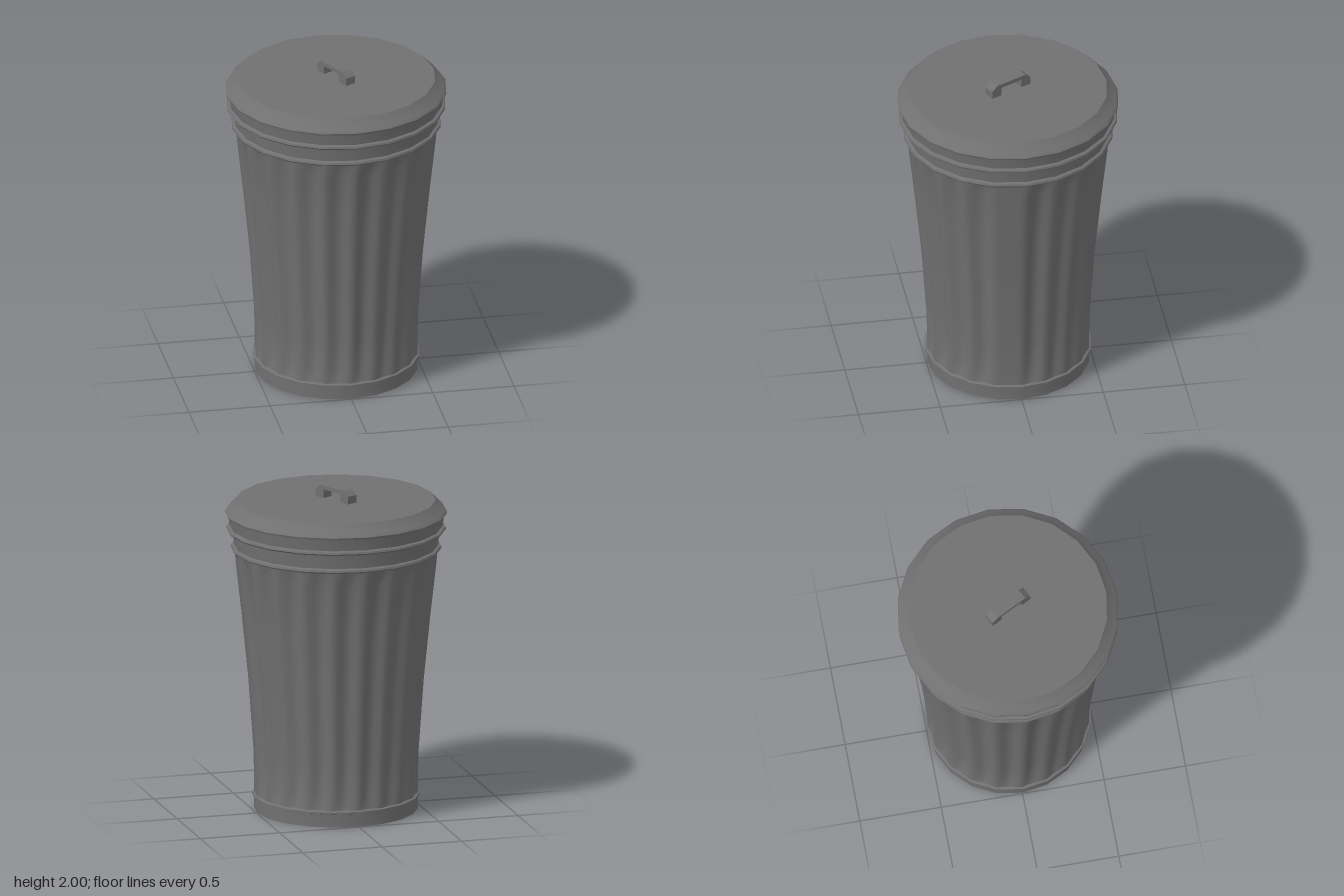
import * as THREE from 'three';
import { toCreasedNormals } from 'three/addons/utils/BufferGeometryUtils.js';

const SIDES = 20;
const material = new THREE.MeshStandardMaterial({ color: 0x707070 });

function addMesh(group, name, geometry, crease) {
  const mesh = new THREE.Mesh(toCreasedNormals(geometry, crease), material);
  mesh.name = name;
  group.add(mesh);
  return mesh;
}

// Twenty-sided turned part from [radius, height] pairs, bottom to top
function turned(points) {
  return new THREE.LatheGeometry(points.map(([r, y]) => new THREE.Vector2(r, y)), SIDES);
}

// Fluted wall: rows of [height, ridge radius, flute depth]
function flutedWall() {
  const rows = [
    [0.09, 0.495, 0], [0.18, 0.495, 0.024], [0.37, 0.5, 0.026], [0.8, 0.53, 0.027],
    [1.2, 0.57, 0.028], [1.52, 0.606, 0.028], [1.62, 0.615, 0],
  ];
  const perFlute = 6, around = SIDES * perFlute;
  const geometry = new THREE.CylinderGeometry(1, 1, 1, around, rows.length - 1, true);
  const position = geometry.attributes.position;
  for (let i = 0; i < position.count; i++) {
    const row = Math.floor(i / (around + 1));
    const col = (i % (around + 1)) % around;
    const [y, ridge, depth] = rows[rows.length - 1 - row];
    const flute = Math.floor(col / perFlute);
    const t = (col % perFlute) / perFlute;
    // straight chord between neighbouring ridges, pressed in halfway
    const half = Math.PI / SIDES;
    const chord = ridge * Math.cos(half) / Math.cos((2 * t - 1) * half);
    const press = flute === 4 ? 0 : depth * Math.sin(Math.PI * t) ** 2; // one plain seam panel
    const angle = col / around * Math.PI * 2;
    const r = chord - press;
    position.setXYZ(i, r * Math.sin(angle), y, r * Math.cos(angle));
  }
  return geometry;
}

// Bracket with sloped shoulders and an open grip
function handleGeometry() {
  const outline = [
    [-0.143, 1.915], [-0.143, 1.97], [-0.105, 2], [0.105, 2], [0.143, 1.97], [0.143, 1.915],
    [0.075, 1.915], [0.075, 1.975], [-0.075, 1.975], [-0.075, 1.915],
  ];
  const shape = new THREE.Shape(outline.map(([x, y]) => new THREE.Vector2(x, y)));
  const geometry = new THREE.ExtrudeGeometry(shape, { depth: 0.07, bevelEnabled: false });
  return geometry.translate(0, 0, -0.035);
}

export function createModel() {
  const group = new THREE.Group();
  group.name = 'trashCan';

  // Base pan with its raised bead
  addMesh(group, 'base', turned([
    [0, 0], [0.495, 0], [0.495, 0.08], [0.507, 0.084], [0.507, 0.096], [0.49, 0.104],
  ]), 0.6);

  addMesh(group, 'flutedBody', flutedWall(), 0.9);

  // Plain collar above the flutes, with its lower bead
  addMesh(group, 'collar', turned([
    [0.605, 1.615], [0.632, 1.617], [0.638, 1.626], [0.634, 1.638],
    [0.618, 1.645], [0.626, 1.74],
  ]), 0.6);

  // Lid: skirt with two beads, sloped rim and flat top
  addMesh(group, 'lid', turned([
    [0.61, 1.735], [0.658, 1.737], [0.666, 1.746], [0.662, 1.757], [0.645, 1.763],
    [0.654, 1.835], [0.668, 1.837], [0.672, 1.848], [0.664, 1.86], [0.654, 1.866],
    [0.603, 1.922], [0, 1.922],
  ]), 0.6);

  const handle = addMesh(group, 'lidHandle', handleGeometry(), 0.3);
  handle.rotation.y = -1.1;

  return group;
}
